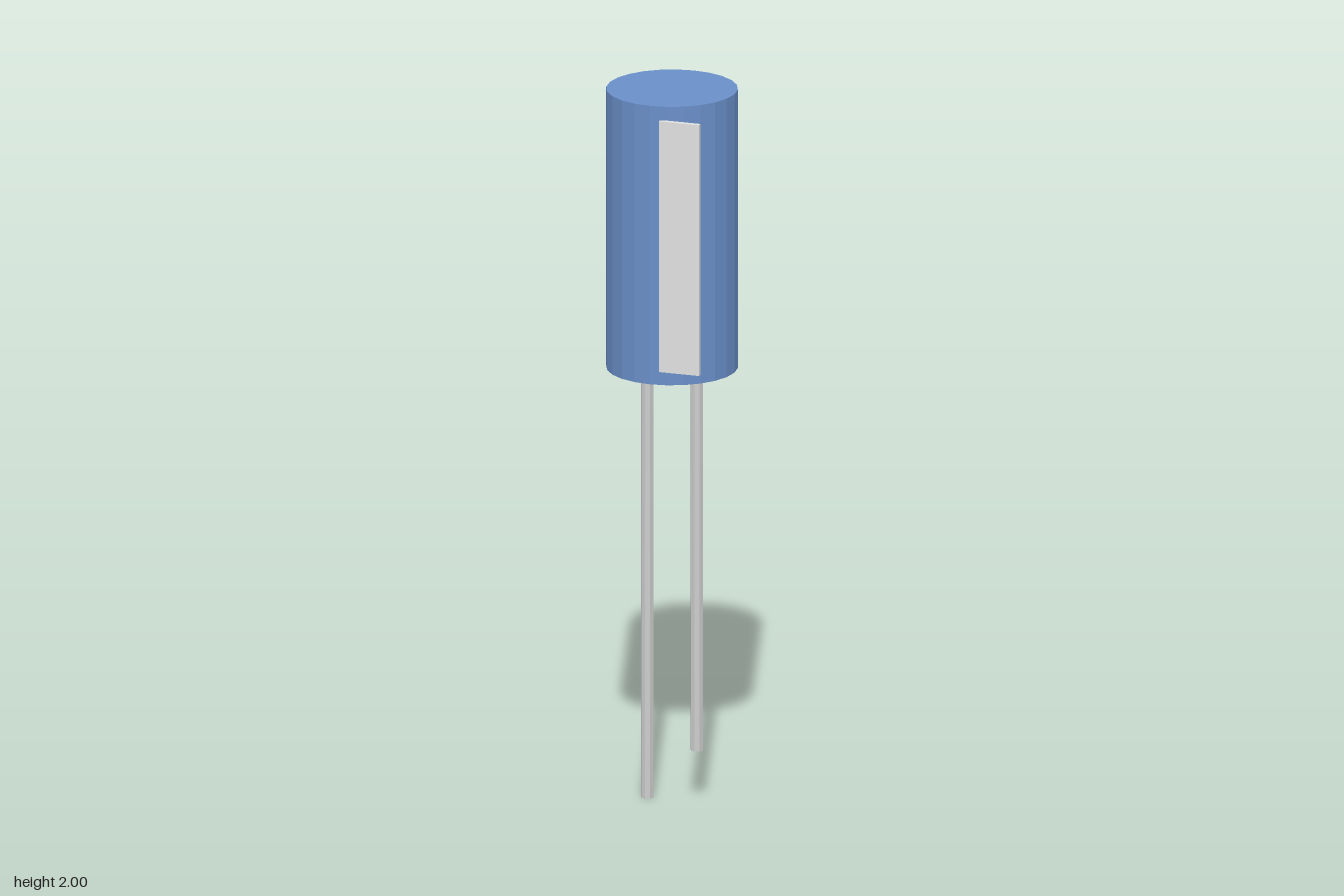
import * as THREE from 'three';

const mat = (name, color) => {
  const m = new THREE.MeshStandardMaterial({ color, flatShading: true });
  m.name = name;
  return m;
};

export function createModel() {
  const group = new THREE.Group();
  group.name = 'capacitor';
  const blue = mat('blue sleeve', 0x6a8fc9);
  const pale = mat('pale grey stripe', 0xe1e1e1);
  const metal = mat('grey metal', 0xcccccc);
  const axisZ = -0.004;
  const bodyBottom = 1.217;

  const add = (name, geometry, material, x, y, z) => {
    const mesh = new THREE.Mesh(geometry, material);
    mesh.name = name;
    mesh.position.set(x, y, z);
    group.add(mesh);
  };

  // Faceted can
  const height = 2 - bodyBottom;
  add('body', new THREE.CylinderGeometry(0.178, 0.178, height, 24), blue, 0, bodyBottom + height / 2, axisZ);

  // Flat polarity stripe on the front
  add('polarityStripe', new THREE.BoxGeometry(0.114, 0.705, 0.014), pale, 0.085, 1.609, 0.1745);

  // Wire leads, the right one longer
  for (const [name, x, bottom] of [['rightLead', -0.071, 0], ['leftLead', 0.071, 0.146]]) {
    const length = bodyBottom - bottom;
    add(name, new THREE.CylinderGeometry(0.0175, 0.0175, length, 8), metal, x, bottom + length / 2, axisZ);
  }
  return group;
}
